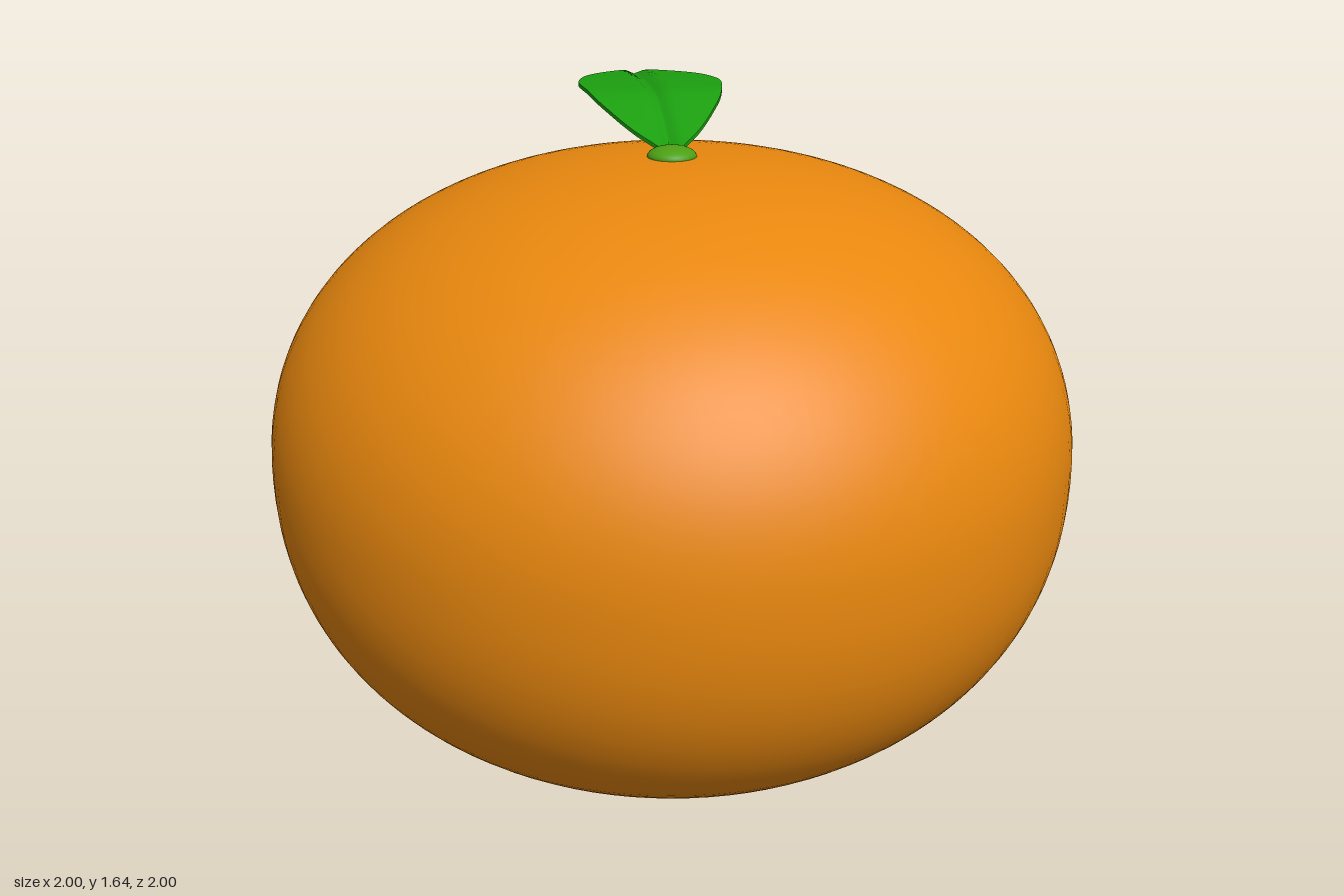
import * as THREE from 'three';

const material = (color) => new THREE.MeshStandardMaterial({ color });

function part(name, geometry, color) {
  const mesh = new THREE.Mesh(geometry, material(color));
  mesh.name = name;
  return mesh;
}

// Fruit body: a slightly squared ellipse turned round the y axis
function fruitGeometry() {
  const n = 2.2, middle = 0.8, topHeight = 0.74, steps = 64;
  const profile = [];
  for (let i = 0; i <= steps; i++) {
    const a = -Math.PI / 2 + (Math.PI * i) / steps;
    const s = Math.sin(a);
    const r = i % steps === 0 ? 0 : Math.pow(Math.cos(a), 2 / n);
    const h = Math.sign(s) * Math.pow(Math.abs(s), 2 / n);
    profile.push(new THREE.Vector2(r, middle + h * (s > 0 ? topHeight : middle)));
  }
  return new THREE.LatheGeometry(profile, 96);
}

// Leaf: a thin slab bent along an arched spine, with a grooved midrib
function leafGeometry() {
  const spine = new THREE.SplineCurve([
    [-0.02, 1.555], [-0.155, 1.595], [-0.29, 1.627], [-0.4, 1.633], [-0.61, 1.622], [-0.87, 1.595],
  ].map(([z, y]) => new THREE.Vector2(z, y)));
  // half-width against z
  const outline = new THREE.SplineCurve([
    [-0.02, 0.03], [-0.1, 0.083], [-0.2, 0.13], [-0.3, 0.165], [-0.45, 0.187],
    [-0.55, 0.177], [-0.65, 0.148], [-0.75, 0.098], [-0.82, 0.048], [-0.87, 0.001],
  ].map(([z, w]) => new THREE.Vector2(z, w)));
  const rows = outline.getPoints(180);
  const heights = spine.getPoints(180);
  const sample = (points, z) => {
    const i = Math.max(1, points.findIndex((p) => p.x <= z + 1e-6));
    const a = points[i - 1], b = points[i];
    return THREE.MathUtils.lerp(a.y, b.y, THREE.MathUtils.clamp((z - a.x) / (b.x - a.x), 0, 1));
  };

  const geometry = new THREE.BoxGeometry(2, 1, 1, 16, 1, 36);
  const pos = geometry.attributes.position;
  for (let i = 0; i < pos.count; i++) {
    const s = pos.getX(i);
    const t = 0.5 - pos.getZ(i);
    const z = -0.02 - 0.85 * t;
    const x = Math.sign(s) * s * s * sample(rows, z);
    const groove = 0.013 * Math.exp(-Math.pow(x / 0.018, 2));
    const notch = 0.02 * (1 - Math.abs(s)) * Math.pow(1 - t, 8);
    pos.setXYZ(i, x, sample(heights, z) - groove + pos.getY(i) * 0.01, z - notch);
  }
  geometry.computeVertexNormals();
  return geometry;
}

export function createModel() {
  const model = new THREE.Group();
  model.name = 'fruit';
  model.add(part('body', fruitGeometry(), 0xe8870e));

  // Flattened stem button on the crown
  const stem = part('stem', new THREE.SphereGeometry(0.06, 32, 20), 0x4c9f14);
  stem.scale.y = 0.42;
  stem.position.y = 1.54;
  model.add(stem);

  model.add(part('leaf', leafGeometry(), 0x1ca010));
  return model;
}
